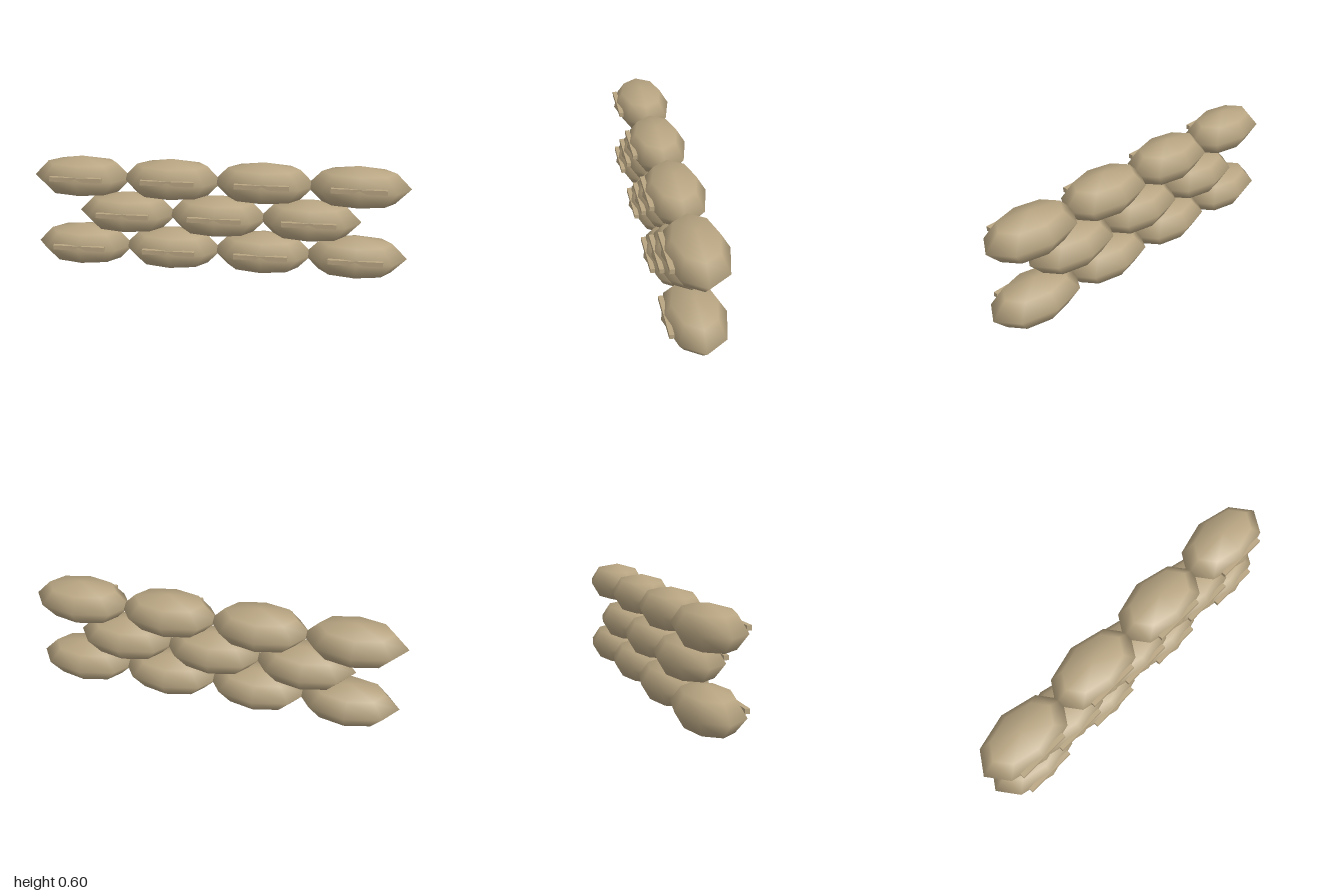
import * as THREE from 'three';

export function createModel() {
  const wall = new THREE.Group();
  wall.name = 'sandbagWall';

  const burlap = new THREE.MeshStandardMaterial({ color: 0xb8a582 });
  burlap.name = 'burlap';

  const halfWidth = 0.268, halfHeight = 0.1125, halfDepth = 0.16;
  const spacing = 0.488, rowHeight = 0.1895;

  // Low-poly, smooth-shaded bag and the flat seam strip on its front
  const bagGeometry = new THREE.SphereGeometry(1, 8, 4).scale(halfWidth, halfHeight, halfDepth);
  const seamGeometry = new THREE.BoxGeometry(0.28, 0.024, 0.024);

  function makeBag(x, y) {
    const bag = new THREE.Group();
    bag.name = 'sandbag';
    const body = new THREE.Mesh(bagGeometry, burlap);
    body.name = 'bagBody';
    const seam = new THREE.Mesh(seamGeometry, burlap);
    seam.name = 'bagSeam';
    seam.position.set(0, 0.015, 0.136);
    bag.add(body, seam);
    bag.position.set(x, y, 0);
    return bag;
  }

  // Staggered courses of four, three and four bags
  [4, 3, 4].forEach((count, level) => {
    const row = new THREE.Group();
    row.name = ['bottomRow', 'middleRow', 'topRow'][level];
    for (let i = 0; i < count; i++) {
      row.add(makeBag((i - (count - 1) / 2) * spacing, halfHeight + level * rowHeight));
    }
    wall.add(row);
  });

  return wall;
}
